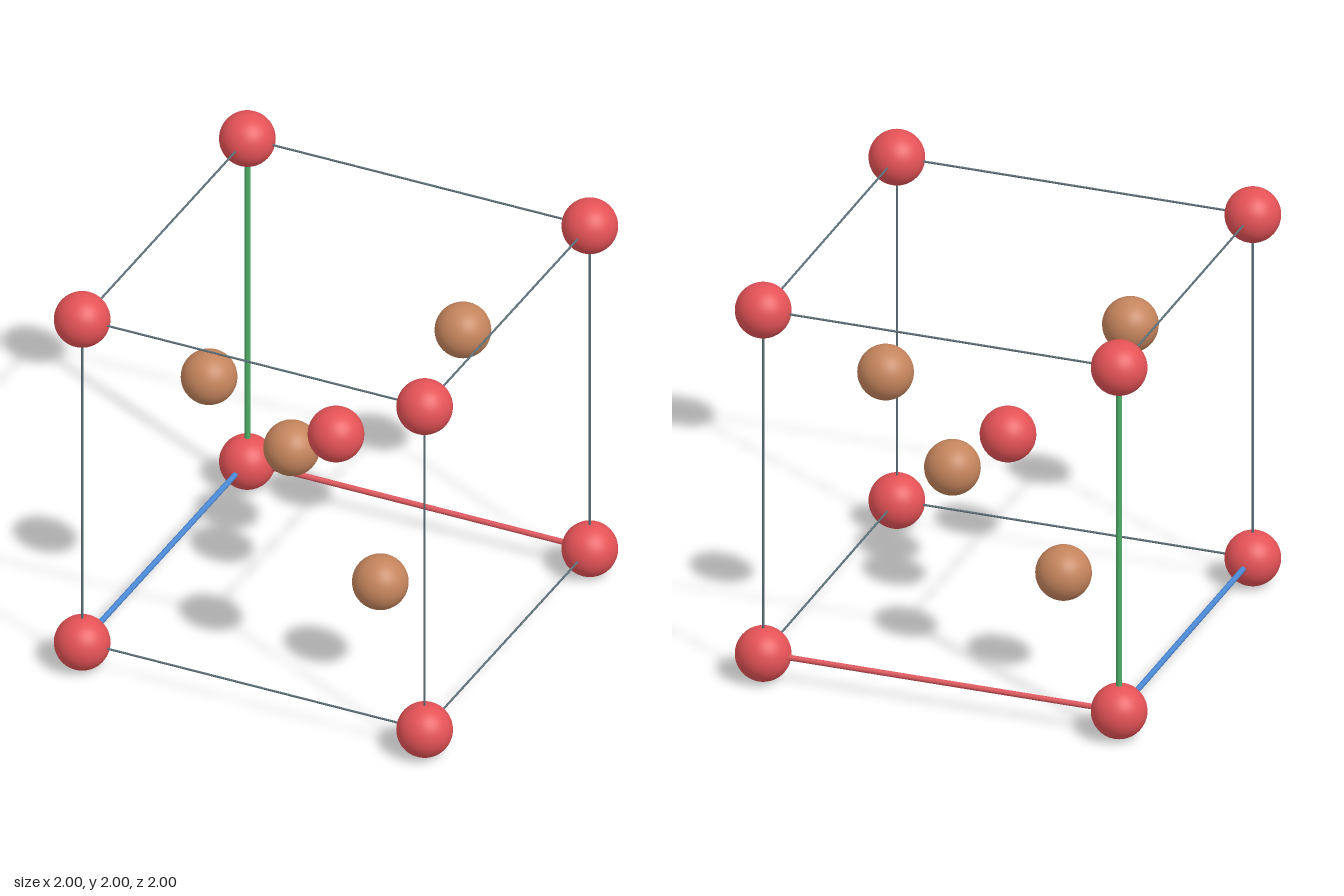
import * as THREE from 'three';

const H = 0.87;        // half of the cube edge
const Q = H / 2;       // inner atom offset
const R = 0.13;        // atom radius
const MID = 1;         // height of the cube centre

const mat = (name, color) => {
  const m = new THREE.MeshStandardMaterial({ color });
  m.name = name;
  return m;
};

export function createModel() {
  const group = new THREE.Group();
  group.name = 'crystalUnitCell';

  const red = mat('atom red', 0xe45256);
  const copper = mat('copper brown', 0xc4845c);
  const slate = mat('edge slate', 0x5c7078);
  const axisMats = [
    mat('axis red', 0xe05a60),
    mat('axis green', 0x4fae68),
    mat('axis blue', 0x4a88d4),
  ];

  const ball = new THREE.SphereGeometry(R, 40, 28);
  const addAtom = (name, material, x, y, z) => {
    const atom = new THREE.Mesh(ball, material);
    atom.name = name;
    atom.position.set(x, MID + y, z);
    group.add(atom);
  };

  // Corner and centre atoms
  const signs = [-1, 1];
  for (const x of signs) for (const y of signs) for (const z of signs) {
    addAtom('cornerAtom', red, x * H, y * H, z * H);
    // Inner atoms sit on alternating octants, forming a tetrahedron
    if (x * y * z < 0) addAtom('innerAtom', copper, x * Q, y * Q, z * Q);
  }
  addAtom('centreAtom', red, 0, 0, 0);

  // Twelve cube edges; the three meeting at the origin corner are thick axes
  const edgeRod = new THREE.CylinderGeometry(0.005, 0.005, 2 * H, 12);
  const axisRod = new THREE.CylinderGeometry(0.0135, 0.0135, 2 * H, 20);
  const axisNames = ['axisX', 'axisY', 'axisZ'];
  for (let axis = 0; axis < 3; axis++) {
    for (const a of signs) for (const b of signs) {
      const isAxis = a < 0 && b < 0;
      const rod = new THREE.Mesh(isAxis ? axisRod : edgeRod, isAxis ? axisMats[axis] : slate);
      rod.name = isAxis ? axisNames[axis] : 'cellEdge';
      const p = [0, 0, 0];
      p[(axis + 1) % 3] = a * H;
      p[(axis + 2) % 3] = b * H;
      rod.position.set(p[0], MID + p[1], p[2]);
      if (axis === 0) rod.rotation.z = -Math.PI / 2;
      if (axis === 2) rod.rotation.x = Math.PI / 2;
      group.add(rod);
    }
  }
  return group;
}
